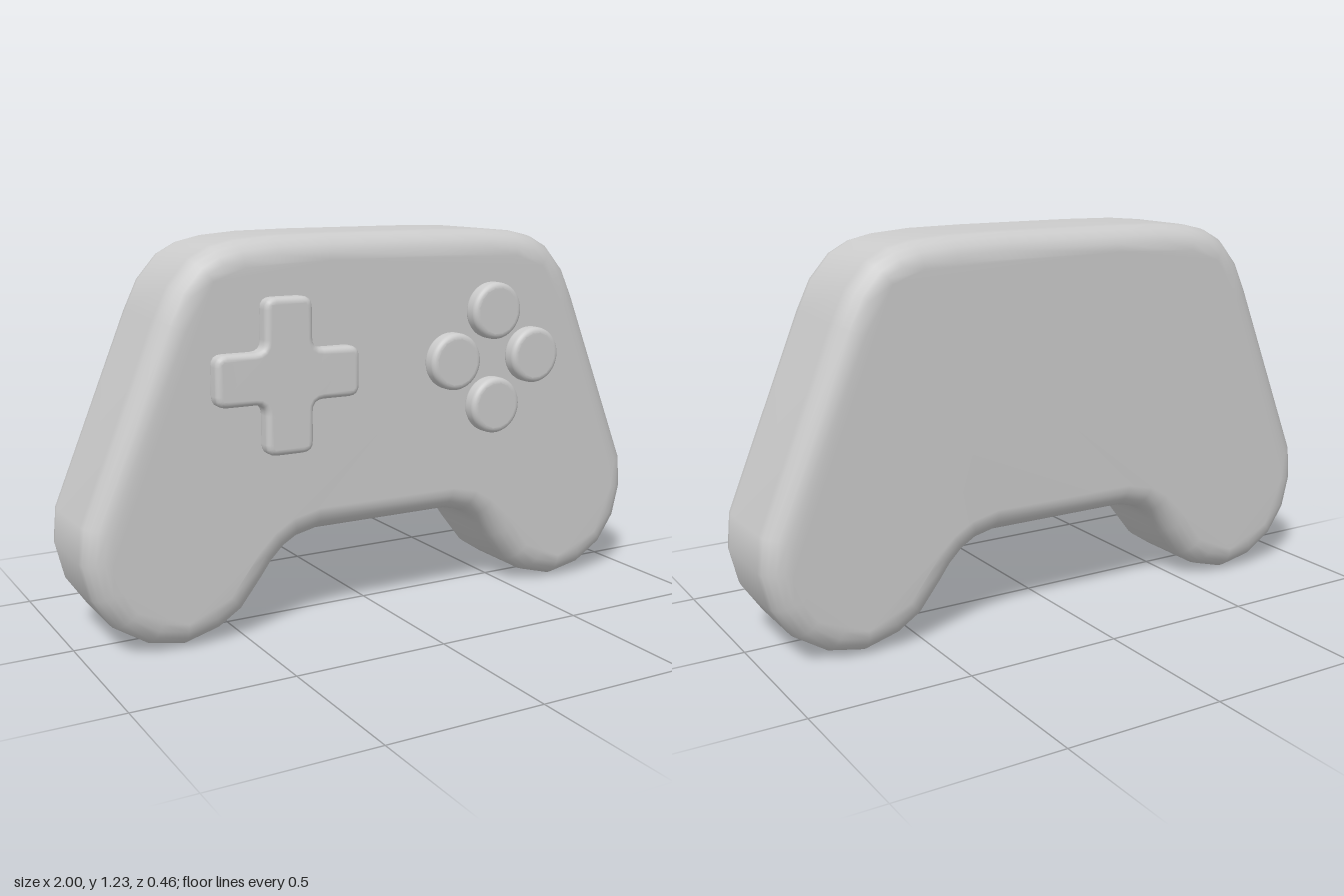
import * as THREE from 'three';
import { mergeVertices } from 'three/addons/utils/BufferGeometryUtils.js';

const material = new THREE.MeshStandardMaterial({ color: 0xcccccc });

// Slab with rounded edges whose outer outline is the given shape
function slab(name, shape, back, front, bevel, curveSegments) {
  let geo = new THREE.ExtrudeGeometry(shape, {
    depth: front - back - 2 * bevel,
    bevelThickness: bevel,
    bevelSize: bevel,
    bevelOffset: -bevel,
    bevelSegments: 5,
    curveSegments,
  });
  geo.translate(0, 0, back + bevel);
  geo.deleteAttribute('uv');
  geo.deleteAttribute('normal');
  geo = mergeVertices(geo, 1e-4);
  geo.computeVertexNormals();
  const mesh = new THREE.Mesh(geo, material);
  mesh.name = name;
  return mesh;
}

// Closed polygon with every corner rounded by a quadratic curve
function roundedShape(points, radius) {
  const shape = new THREE.Shape();
  const n = points.length;
  points.forEach((p, i) => {
    const prev = points[(i + n - 1) % n], next = points[(i + 1) % n];
    const a = p.clone().add(prev.clone().sub(p).setLength(radius));
    const b = p.clone().add(next.clone().sub(p).setLength(radius));
    if (i === 0) shape.moveTo(a.x, a.y);
    else shape.lineTo(a.x, a.y);
    shape.quadraticCurveTo(p.x, p.y, b.x, b.y);
  });
  shape.closePath();
  return shape;
}

export function createModel() {
  const model = new THREE.Group();
  model.name = 'gamepad';

  // Body: half outline from top to underside, mirrored
  const half = [
    [0.2, 1.235], [0.38, 1.232], [0.5, 1.222], [0.575, 1.205], [0.64, 1.17], [0.705, 1.095],
    [0.75, 1.0], [0.99, 0.41], [1.0, 0.3], [0.972, 0.185], [0.907, 0.09],
    [0.806, 0.026], [0.69, 0.003], [0.578, 0.034], [0.5, 0.084], [0.425, 0.18],
    [0.395, 0.222], [0.355, 0.262], [0.31, 0.289], [0.24, 0.305],
  ].map(([x, y]) => new THREE.Vector2(x, y));
  const mirrored = half.map((p) => new THREE.Vector2(-p.x, p.y)).reverse();
  model.add(slab('body', new THREE.Shape([...half, ...mirrored]), -0.23, 0.17, 0.08, 1));

  // Direction pad: a plus sign, one quarter turned four times
  const w = 0.078, l = 0.237;
  const cross = [];
  for (let i = 0; i < 4; i++) {
    for (const [x, y] of [[w, w], [w, l], [-w, l]]) {
      cross.push(new THREE.Vector2(x, y).rotateAround(new THREE.Vector2(), i * Math.PI / 2));
    }
  }
  const pad = slab('directionPad', roundedShape(cross, 0.035), 0.17, 0.232, 0.018, 4);
  pad.position.set(-0.376, 0.82, 0);
  model.add(pad);

  // Four round buttons in a diamond
  const buttons = new THREE.Group();
  buttons.name = 'buttons';
  buttons.position.set(0.372, 0.818, 0);
  const disc = new THREE.Shape().absarc(0, 0, 0.092, 0, Math.PI * 2);
  ['rightButton', 'topButton', 'leftButton', 'bottomButton'].forEach((name, i) => {
    const button = slab(name, disc, 0.17, 0.232, 0.018, 32);
    const angle = i * Math.PI / 2;
    button.position.set(0.155 * Math.cos(angle), 0.155 * Math.sin(angle), 0);
    buttons.add(button);
  });
  model.add(buttons);

  return model;
}
